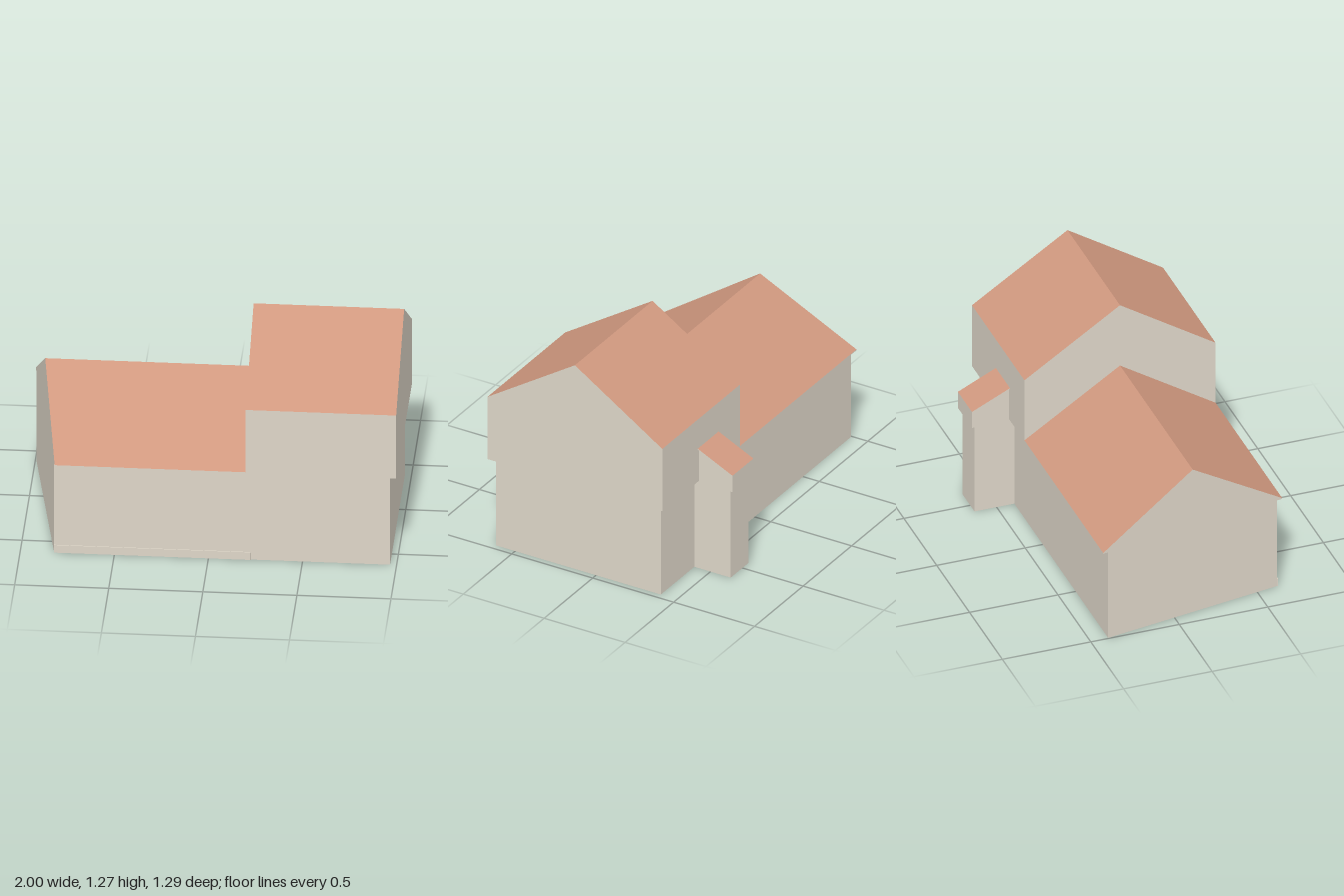
import * as THREE from 'three';

const wall = new THREE.MeshStandardMaterial({ color: 0xded6c8 });
wall.name = 'plaster wall';
const tile = new THREE.MeshStandardMaterial({ color: 0xd0987f });
tile.name = 'roof tile';
const ground = new THREE.MeshStandardMaterial({ color: 0xb0b0b0 });
ground.name = 'grey underside';

// x of the slanted end wall at a given z
const slantX = (z) => -1 + (z + 0.43) * (0.185 / 1.08);

function outline(points) {
  return new THREE.Shape(points.map(([a, b]) => new THREE.Vector2(a, b)));
}

// Flat mesh whose upward faces take one material and downward faces another
function paintedMesh(name, source, up = wall, down = wall) {
  const geo = source.index ? source.toNonIndexed() : source;
  geo.clearGroups();
  geo.computeVertexNormals();
  const normal = geo.attributes.normal;
  for (let i = 0; i < normal.count; i += 3) {
    const y = normal.getY(i);
    geo.addGroup(i, 3, y > 0.3 ? 1 : y < -0.3 ? 2 : 0);
  }
  const mesh = new THREE.Mesh(geo, [wall, up, down]);
  mesh.name = name;
  return mesh;
}

// Profile of [z, y] points swept along x from x0 to x1
function sweepX(profile, x0, x1) {
  const geo = new THREE.ExtrudeGeometry(outline(profile.map(([z, y]) => [-z, y])), {
    depth: x1 - x0, bevelEnabled: false,
  });
  return geo.rotateY(Math.PI / 2).translate(x0, 0, 0);
}

// Footprint of [x, z] points raised from the ground
function raise(footprint, height) {
  const geo = new THREE.ExtrudeGeometry(outline(footprint.map(([x, z]) => [x, -z])), {
    depth: height, bevelEnabled: false,
  });
  return geo.rotateX(-Math.PI / 2);
}

export function createModel() {
  const house = new THREE.Group();
  house.name = 'house';

  // Ground floor with its slanted end and the stub at the back
  const footprint = [
    [slantX(0.62), 0.62], [0.965, 0.62], [0.965, -0.4],
    [0.62, -0.4], [0.62, -0.625], [0.435, -0.625], [0.435, -0.4],
    [slantX(-0.4), -0.4],
  ];
  house.add(paintedMesh('groundFloor', raise(footprint, 0.535), wall, ground));

  // Low roof, its end cut along the slanted wall
  const low = sweepX([[0.65, 0.535], [0.65, 0.54], [0.11, 0.89], [-0.43, 0.54], [-0.43, 0.535]], -1, 0.2);
  const pos = low.attributes.position;
  for (let i = 0; i < pos.count; i++) {
    if (pos.getX(i) < -0.5) pos.setX(i, slantX(pos.getZ(i)));
  }
  house.add(paintedMesh('lowRoof', low, tile));

  // Overhanging upper floor with its gable roof
  const upper = [[0.65, 0.535], [0.65, 0.915], [0.11, 1.267], [-0.43, 0.915], [-0.43, 0.535]];
  house.add(paintedMesh('upperFloor', sweepX(upper, 0.2, 1), tile));

  // Back stub: upper walls, then lean-to roof with a deep end
  const stub = [[-0.4, 0.535], [-0.4, 0.745], [-0.625, 0.64], [-0.625, 0.535]];
  house.add(paintedMesh('stubWalls', sweepX(stub, 0.435, 0.62)));
  const leanTo = [
    [-0.43, 0.737], [-0.645, 0.635], [-0.645, 0.535],
    [-0.585, 0.535], [-0.585, 0.658], [-0.43, 0.732],
  ];
  house.add(paintedMesh('stubRoof', sweepX(leanTo, 0.42, 0.635), tile));

  // Thin plinth along the front
  const plinth = new THREE.Mesh(new THREE.BoxGeometry(1.045, 0.045, 0.005), wall);
  plinth.name = 'frontPlinth';
  plinth.position.set(-0.2975, 0.0225, 0.6225);
  house.add(plinth);

  return house;
}
